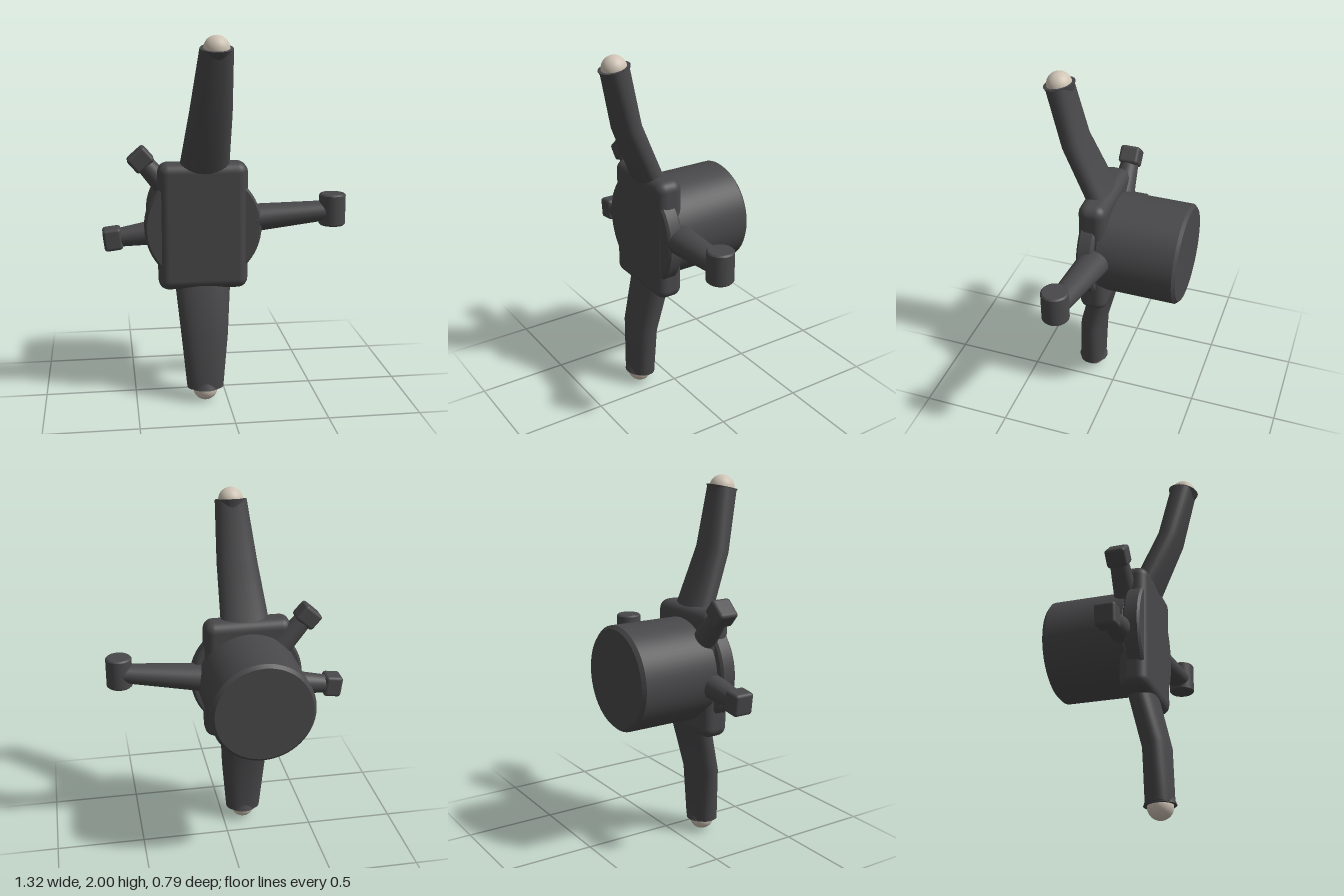
import * as THREE from 'three';
import { toCreasedNormals } from 'three/addons/utils/BufferGeometryUtils.js';
import { RoundedBoxGeometry } from 'three/addons/geometries/RoundedBoxGeometry.js';

const dark = new THREE.MeshStandardMaterial({ color: 0x48484a });
const ivory = new THREE.MeshStandardMaterial({ color: 0xcfc4b5 });

function add(parent, name, geometry, x = 0, y = 0, z = 0, material = dark) {
  const mesh = new THREE.Mesh(geometry, material);
  mesh.name = name;
  mesh.position.set(x, y, z);
  parent.add(mesh);
  return mesh;
}

// Solid round drum along y with chamfered rims
function drum(radius, height, bevel, segments = 64) {
  const h = height / 2;
  const profile = [[0, -h], [radius - bevel, -h], [radius, -h + bevel],
    [radius, h - bevel], [radius - bevel, h], [0, h]].map(p => new THREE.Vector2(...p));
  return toCreasedNormals(new THREE.LatheGeometry(profile, segments), 0.5);
}

// Oval sections [x, y, z, half width, half depth] joined along a bent path in the yz plane
function loft(sections, sides = 32) {
  const points = sections.map(s => new THREE.Vector3(s[0], s[1], s[2]));
  const positions = [], index = [], last = sections.length - 1;
  sections.forEach(([x, y, z, rx, rd], i) => {
    const a = points[Math.max(i - 1, 0)], b = points[Math.min(i + 1, last)];
    const dy = b.y - a.y, dz = b.z - a.z, len = Math.hypot(dy, dz);
    for (let j = 0; j < sides; j++) {
      const t = j / sides * Math.PI * 2;
      const c = Math.cos(t), s = Math.sin(t);
      const u = Math.sign(c) * Math.abs(c) ** 0.85 * rx;
      const v = Math.sign(s) * Math.abs(s) ** 0.85 * rd;
      positions.push(x + u, y + v * dz / len, z - v * dy / len);
      if (i < last) {
        const p = i * sides + j, q = i * sides + (j + 1) % sides;
        index.push(p, q, p + sides, q, q + sides, p + sides);
      }
    }
  });
  // Close both ends
  for (let j = 1; j < sides - 1; j++) {
    const e = last * sides;
    index.push(0, j + 1, j, e, e + j, e + j + 1);
  }
  const g = new THREE.BufferGeometry();
  g.setAttribute('position', new THREE.Float32BufferAttribute(positions, 3));
  g.setIndex(index);
  return toCreasedNormals(g, 0.5);
}

// Bent arm ending in a flared cup that holds a ball
function limb(name, sections, ball, lean) {
  const g = new THREE.Group();
  g.name = name;
  add(g, 'arm', loft(sections));
  const tip = sections[sections.length - 1];
  const cup = add(g, 'cup', new THREE.CylinderGeometry(0.085, 0.045, 0.11, 32));
  cup.rotation.x = lean;
  cup.position.set(tip[0], tip[1], tip[2]);
  cup.translateY(-0.052);
  add(g, 'ball', new THREE.SphereGeometry(0.068, 32, 20), ...ball, ivory);
  return g;
}

// Round stem pointing along its own y, tipped with a rounded block
function peg(name, x, y, z, angle, length, rootRadius) {
  const g = new THREE.Group();
  g.name = name;
  add(g, 'stem', new THREE.CylinderGeometry(0.048, rootRadius, length, 32), 0, -length / 2, 0);
  add(g, 'block', new RoundedBoxGeometry(0.12, 0.1, 0.112, 3, 0.018));
  g.position.set(x, y, z);
  g.rotation.z = angle;
  return g;
}

export function createModel() {
  const model = new THREE.Group();
  model.name = 'model';

  // Central body
  add(model, 'frontPlate', new RoundedBoxGeometry(0.485, 0.695, 0.155, 5, 0.055), -0.125, 0.982, 0.09);
  add(model, 'disc', drum(0.316, 0.09, 0.012), -0.125, 0.98, 0.107).rotation.x = Math.PI / 2;
  add(model, 'rearDrum', drum(0.282, 0.465, 0.018), -0.125, 0.982, -0.163).rotation.x = Math.PI / 2;

  // Upper and lower limbs
  model.add(limb('upperLimb', [
    [-0.12, 1.2, 0.06, 0.142, 0.07],
    [-0.117, 1.29, 0.1, 0.135, 0.068],
    [-0.095, 1.61, 0.236, 0.112, 0.066],
    [-0.074, 1.935, 0.31, 0.086, 0.07],
  ], [-0.074, 1.934, 0.31], 0.22));
  model.add(limb('lowerLimb', [
    [-0.125, 0.75, 0.06, 0.16, 0.07],
    [-0.125, 0.66, 0.085, 0.152, 0.07],
    [-0.123, 0.38, 0.153, 0.128, 0.07],
    [-0.122, 0.082, 0.164, 0.1, 0.072],
  ], [-0.122, 0.074, 0.165], Math.PI - 0.035));

  // Side lever with an upright knob
  const lever = new THREE.Group();
  lever.name = 'sideLever';
  const from = new THREE.Vector3(0.06, 1.0, 0.055), to = new THREE.Vector3(0.585, 1.05, 0.105);
  const bar = add(lever, 'bar', new THREE.CylinderGeometry(0.062, 0.095, from.distanceTo(to), 32));
  bar.geometry.scale(0.84, 1, 1);
  bar.position.copy(from).lerp(to, 0.5);
  bar.quaternion.setFromUnitVectors(new THREE.Vector3(0, 1, 0), to.clone().sub(from).normalize());
  add(lever, 'knob', drum(0.072, 0.174, 0.008, 32), 0.586, 1.056, 0.11);
  model.add(lever);

  // Two short pegs on the other side
  model.add(peg('upperPeg', -0.453, 1.342, 0.042, 0.72, 0.3, 0.07));
  model.add(peg('lowerPeg', -0.61, 0.912, 0.042, Math.PI / 2 + 0.12, 0.32, 0.075));

  return model;
}
